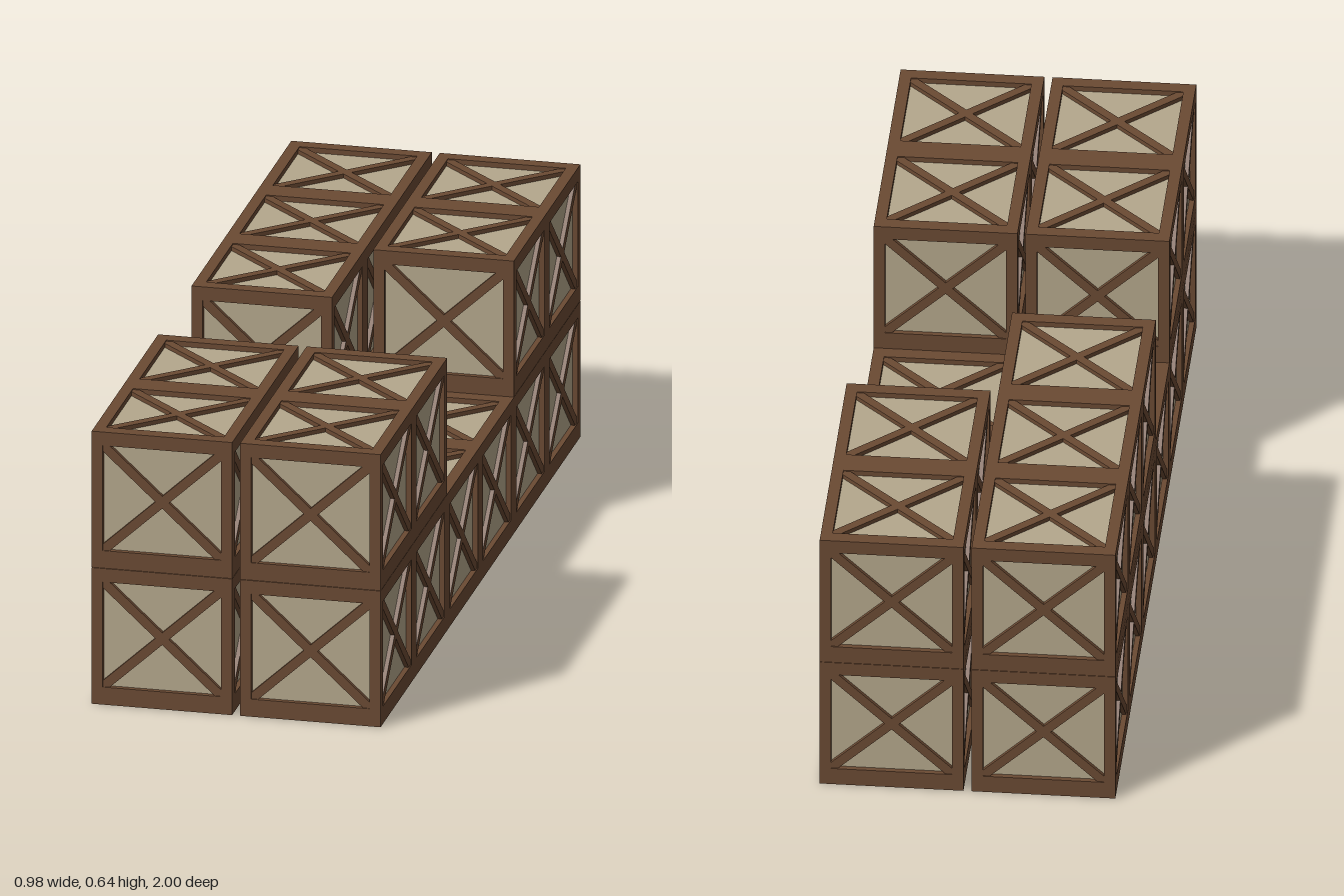
import * as THREE from 'three';

const S = 0.319;      // crate width and depth
const H = 0.321;      // crate height
const GAP = 0.018;    // space between the two rows
const R = 0.012;      // how deep the panels sit behind the frame
const LIFT = 0.001;   // frame clearance above the floor panel

const wood = new THREE.MeshStandardMaterial({ color: 0x6b4a33 });
const panel = new THREE.MeshStandardMaterial({ color: 0xb5a88c });

function box(name, w, h, d, material) {
  const mesh = new THREE.Mesh(new THREE.BoxGeometry(w, h, d), material);
  mesh.name = name;
  return mesh;
}

// Frame with a rectangular opening and an X brace, lying in xy and facing +z.
// The opening runs from y0 to y1, and the face itself from b to t.
function makeFace(name, b, t, y0, y1, side) {
  const face = new THREE.Group();
  face.name = name;
  const h = S / 2;
  const a = h - side;
  const shape = new THREE.Shape([[-h, b], [h, b], [h, t], [-h, t]].map((p) => new THREE.Vector2(...p)));
  shape.holes.push(new THREE.Path([[-a, y0], [-a, y1], [a, y1], [a, y0]].map((p) => new THREE.Vector2(...p))));
  const frame = new THREE.Mesh(new THREE.ExtrudeGeometry(shape, { depth: R, bevelEnabled: false }), wood);
  frame.name = 'frame';
  face.add(frame);

  const length = Math.hypot(2 * a, y1 - y0);
  const angle = Math.atan2(y1 - y0, 2 * a);
  for (const s of [-1, 1]) {
    const brace = box('brace', length, 0.021, R * 0.8, wood);
    brace.position.set(0, (y0 + y1) / 2, R * 0.4);
    brace.rotation.z = s * angle;
    face.add(brace);
  }
  return face;
}

// One crate: inner box, four braced sides and a braced lid
function makeCrate() {
  const crate = new THREE.Group();
  crate.name = 'crate';
  const core = box('panels', S - 2 * R, H - R - LIFT, S - 2 * R, panel);
  core.position.y = (H - R + LIFT) / 2;
  crate.add(core);

  const sideFace = makeFace('side', LIFT, H, 0.042, 0.289, 0.025);
  for (let i = 0; i < 4; i++) {
    const side = sideFace.clone();
    const turn = (i * Math.PI) / 2;
    side.rotation.y = turn;
    side.position.set(Math.sin(turn) * (S / 2 - R), 0, Math.cos(turn) * (S / 2 - R));
    crate.add(side);
  }

  const lid = makeFace('lid', -S / 2, S / 2, -S / 2 + 0.032, S / 2 - 0.032, 0.026);
  lid.rotation.x = -Math.PI / 2;
  lid.position.y = H - R;
  crate.add(lid);
  return crate;
}

export function createModel() {
  const model = new THREE.Group();
  model.name = 'crateStack';
  const crate = makeCrate();

  // Slots are counted from the front; the upper layer leaves a gap in the middle
  const rows = [
    { name: 'leftRow', x: 1, upper: [0, 1, 4, 5] },
    { name: 'rightRow', x: -1, upper: [0, 1, 3, 4, 5] },
  ];
  for (const { name, x, upper } of rows) {
    const row = new THREE.Group();
    row.name = name;
    row.position.x = (x * (S + GAP)) / 2;
    const place = (slot, level) => {
      const c = crate.clone();
      c.position.set(0, level * H, (2.5 - slot) * S);
      row.add(c);
    };
    for (let slot = 0; slot < 6; slot++) place(slot, 0);
    upper.forEach((slot) => place(slot, 1));

    // Continuous floor under the row
    const floor = box('floor', S - 0.004, 0.008, 6 * S - 0.004, panel);
    floor.position.y = 0.004;
    row.add(floor);
    model.add(row);
  }

  // The whole stack stands slightly turned
  model.rotation.y = THREE.MathUtils.degToRad(-10);
  const root = new THREE.Group();
  root.name = 'crates';
  root.add(model);
  return root;
}
